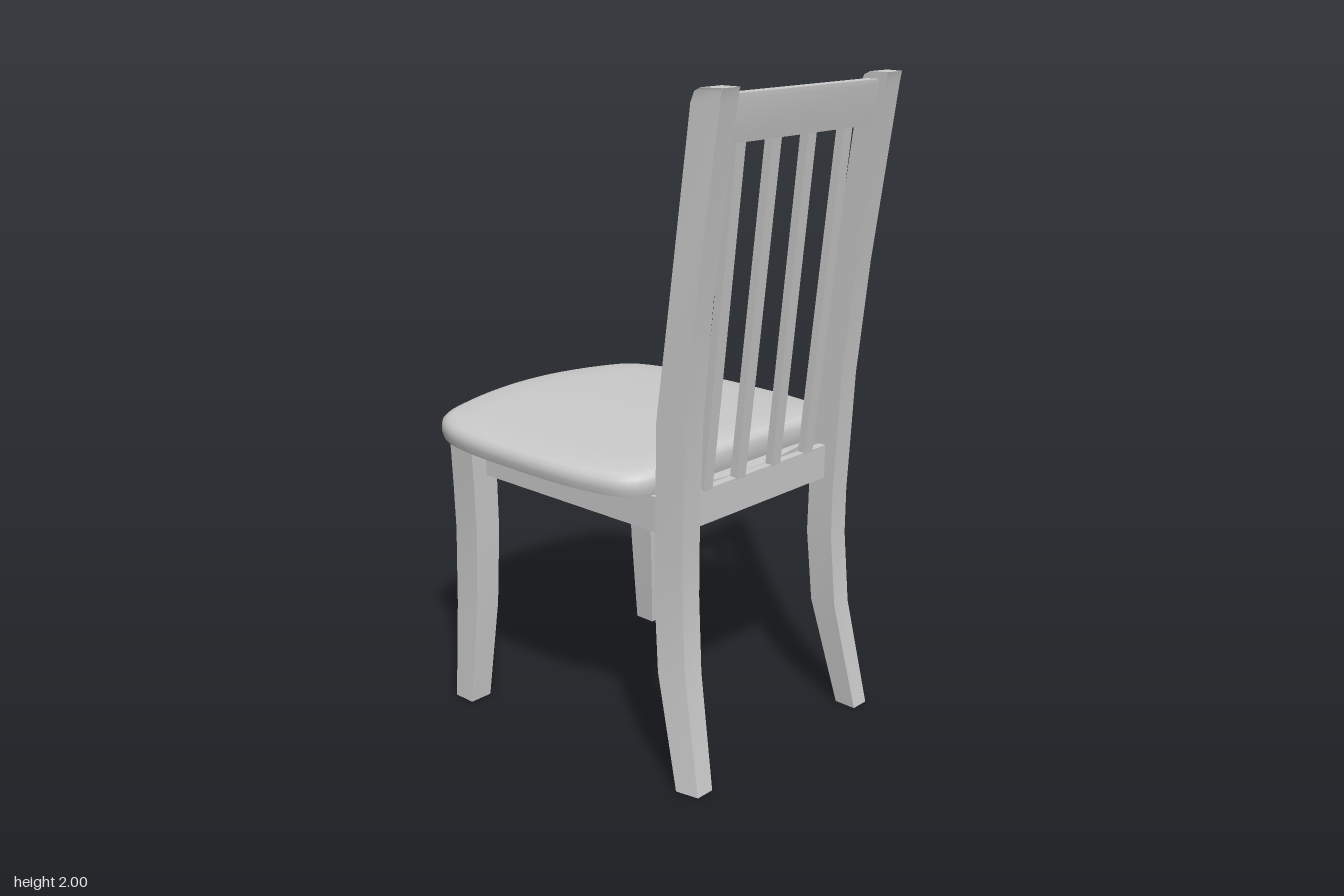
import * as THREE from 'three';
import { toCreasedNormals } from 'three/addons/utils/BufferGeometryUtils.js';

const material = new THREE.MeshStandardMaterial({ color: 0xcccccc });

// Solid through a stack of equal-sized loops, each running +x along its +z side
function loft(loops, crease = 0.4) {
  const n = loops[0].length, index = [], last = (loops.length - 1) * n;
  for (let r = 0; r < loops.length - 1; r++) {
    for (let i = 0; i < n; i++) {
      const a = r * n + i, b = r * n + (i + 1) % n;
      index.push(a, b, b + n, a, b + n, a + n);
    }
  }
  for (let i = 1; i < n - 1; i++) {
    index.push(0, i + 1, i, last, last + i, last + i + 1);
  }
  const geo = new THREE.BufferGeometry();
  geo.setAttribute('position', new THREE.Float32BufferAttribute(loops.flat(2), 3));
  geo.setIndex(index);
  return toCreasedNormals(geo, crease);
}

function add(parent, name, geo) {
  const mesh = new THREE.Mesh(geo, material);
  mesh.name = name;
  parent.add(mesh);
  return mesh;
}

// Four-sided bar; rows are [y, inner x, outer x, low z, high z].
// bevel narrows the outer side of the +z face.
function bar(rows, side = 1, bevel = 0) {
  return loft(rows.map(([y, inner, outer, z0, z1]) => {
    const back = [side * inner, side * (outer - bevel)].sort((a, b) => a - b);
    const front = [side * inner, side * outer].sort((a, b) => a - b);
    return [[back[0], y, z1], [back[1], y, z1], [front[1], y, z0], [front[0], y, z0]];
  }));
}

function box(x0, x1, y0, y1, z0, z1) {
  return new THREE.BoxGeometry(x1 - x0, y1 - y0, z1 - z0)
    .translate((x0 + x1) / 2, (y0 + y1) / 2, (z0 + z1) / 2);
}

function seatGeometry() {
  // Plan outline: one half, mirrored
  const half = [
    [0.2, 0.362], [0.4, 0.358], [0.465, 0.315], [0.5, 0.2], [0.513, 0.08], [0.514, -0.15],
    [0.505, -0.32], [0.48, -0.44], [0.425, -0.525], [0.3, -0.565], [0.12, -0.593],
  ];
  const points = [...half, [0, -0.598], ...half.map(([x, z]) => [-x, z]).reverse()]
    .map(([x, z]) => new THREE.Vector3(x, 0, z));
  const outline = new THREE.CatmullRomCurve3(points, true).getPoints(72).slice(0, -1);
  const top = (x) => 0.952 - 0.085 * x * x;
  // [scale, fixed y or depth below the crowned top]
  const rings = [
    [0.965, 0.86, true], [0.99, 0.865, true], [1, 0.885, true], [1, 0.032], [0.992, 0.018],
    [0.97, 0.007], [0.93, 0.001], [0.75, 0], [0.5, 0], [0.25, 0], [0.02, 0],
  ];
  return loft(rings.map(([s, h, fixed]) => outline.map((p) => {
    const x = p.x * s;
    return [x, fixed ? h : top(x) - h, -0.118 + (p.z + 0.118) * s];
  })), 0.8);
}

export function createModel() {
  const model = new THREE.Group();
  model.name = 'chair';
  add(model, 'seat', seatGeometry());

  const frame = new THREE.Group();
  frame.name = 'frame';
  frame.position.x = -0.01;
  model.add(frame);

  // Legs, posts and side aprons, mirrored
  const post = [
    [0, 0.344, 0.42, 0.48, 0.552], [0.34, 0.316, 0.4, 0.39, 0.482], [0.57, 0.309, 0.394, 0.371, 0.465],
    [0.72, 0.309, 0.395, 0.374, 0.465], [1.09, 0.315, 0.402, 0.385, 0.48], [1.44, 0.319, 0.404, 0.435, 0.517],
    [1.96, 0.321, 0.404, 0.505, 0.592], [1.99, 0.321, 0.404, 0.518, 0.597], [2, 0.321, 0.404, 0.538, 0.6],
  ];
  const leg = [
    [0, 0.385, 0.463, -0.447, -0.372], [0.32, 0.357, 0.445, -0.447, -0.352],
    [0.57, 0.345, 0.437, -0.449, -0.35], [0.72, 0.347, 0.441, -0.45, -0.35], [0.87, 0.352, 0.448, -0.45, -0.35],
  ];
  for (const side of [1, -1]) {
    const word = side > 0 ? 'left' : 'right';
    add(frame, word + 'BackPost', bar(post, side, 0.014));
    add(frame, word + 'FrontLeg', bar(leg, side));
    add(frame, word + 'SideApron', bar([
      [0.76, 0.352, 0.39, -0.36, 0.385], [0.865, 0.352, 0.39, -0.36, 0.385],
    ], side));
  }
  add(frame, 'frontApron', box(-0.36, 0.36, 0.76, 0.865, -0.42, -0.38));

  // Lower back rail, bowed in plan, with the slat rail behind it
  const bow = [[-0.32, 0.36], [-0.1, 0.396], [0.1, 0.396], [0.32, 0.36], [0.32, 0.33], [-0.32, 0.33]];
  add(frame, 'backApron', loft([0.76, 0.862].map((y) => bow.map(([x, z]) => [x, y, z]))));
  add(frame, 'slatRail', box(-0.325, 0.325, 0.76, 0.865, 0.404, 0.43));

  // Leaning crest rail and slats
  add(frame, 'crestRail', bar([
    [1.85, -0.33, 0.33, 0.5, 0.55], [1.965, -0.33, 0.33, 0.52, 0.57], [1.98, -0.33, 0.33, 0.528, 0.57],
  ]));
  for (const [low, high] of [[-0.237, -0.235], [-0.092, -0.085], [0.069, 0.068], [0.225, 0.233]]) {
    add(frame, 'slat', bar([
      [0.86, low - 0.02, low + 0.02, 0.406, 0.431],
      [1.86, high - 0.019, high + 0.019, 0.507, 0.535],
    ]));
  }
  return model;
}
